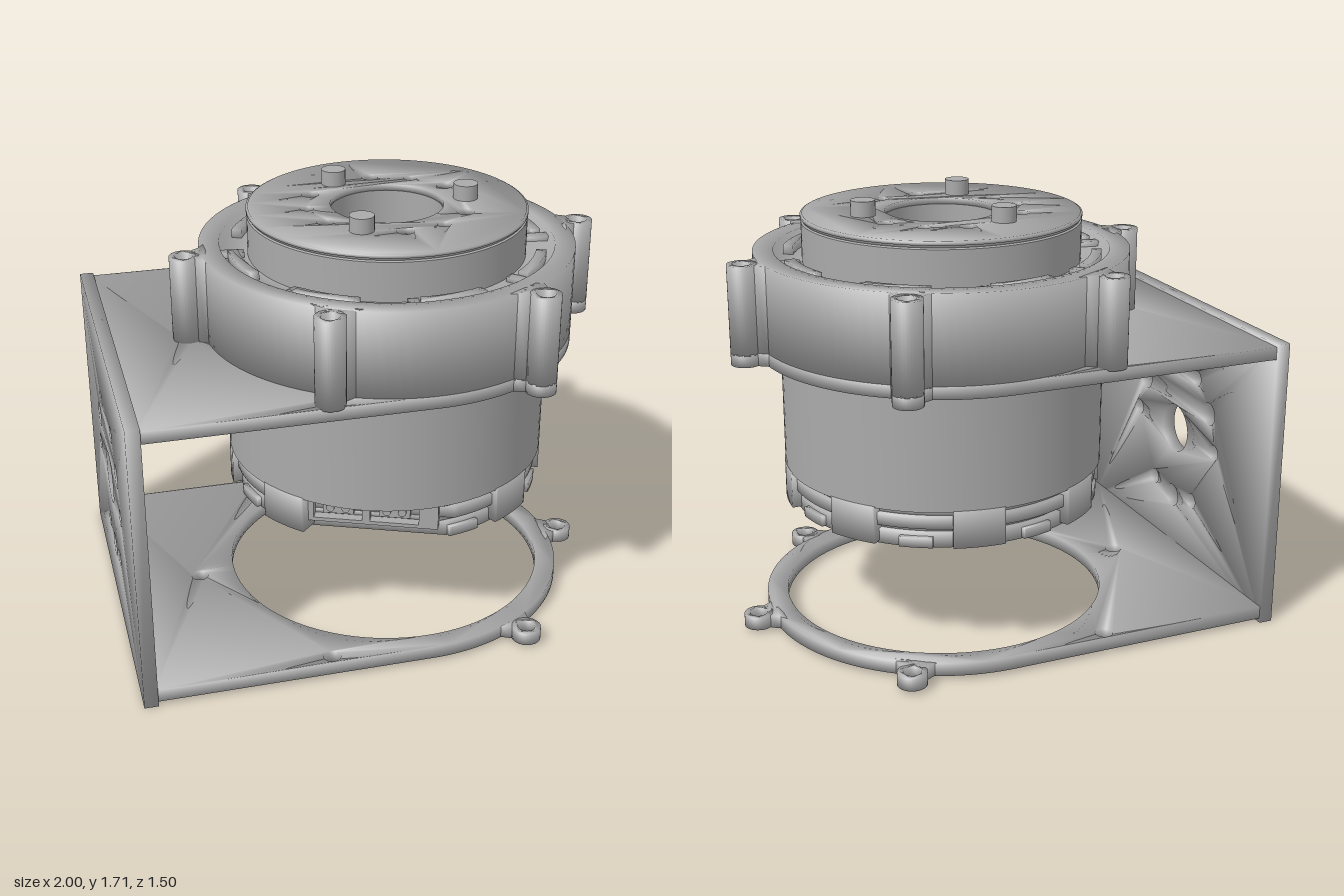
import * as THREE from 'three';
import { toCreasedNormals } from 'three/addons/utils/BufferGeometryUtils.js';

const CX = 0.142; // axis of the motor
const RAD = Math.PI / 180;
const CONNECTOR_ANGLE = 113; // direction of the connector, from +x towards +z

// Shares one angle-weighted normal between all faces that meet at a corner
function soften(geometry) {
  const g = geometry.index ? geometry.toNonIndexed() : geometry;
  const pos = g.attributes.position, sums = new Map(), keys = [];
  const p = [0, 1, 2].map(() => new THREE.Vector3());
  for (let i = 0; i < pos.count; i += 3) {
    p.forEach((v, k) => v.fromBufferAttribute(pos, i + k));
    const n = p[1].clone().sub(p[0]).cross(p[2].clone().sub(p[0])).normalize();
    for (let k = 0; k < 3; k++) {
      const key = p[k].toArray().map((c) => Math.round(c * 1e4)).join();
      const u = p[(k + 1) % 3].clone().sub(p[k]), w = p[(k + 2) % 3].clone().sub(p[k]);
      if (!sums.has(key)) sums.set(key, new THREE.Vector3());
      sums.get(key).addScaledVector(n, u.angleTo(w));
      keys.push(key);
    }
  }
  keys.forEach((key, i) => {
    const n = sums.get(key).clone().normalize();
    g.attributes.normal.setXYZ(i, n.x, n.y, n.z);
  });
  return g;
}

function hole(shape, x, y, r) {
  const path = new THREE.Path();
  path.absarc(x, y, r, 0, Math.PI * 2, true);
  shape.holes.push(path);
}

function disc(r) {
  const shape = new THREE.Shape();
  shape.absarc(0, 0, r, 0, Math.PI * 2, false);
  return shape;
}

function polygon(points) {
  return new THREE.Shape(points.map(([x, y]) => new THREE.Vector2(x, y)));
}

function rectangle(x0, y0, x1, y1) {
  return polygon([[x0, y0], [x1, y0], [x1, y1], [x0, y1]]);
}

// Flat shape laid in the ground plane and raised from y0 to y1
function slab(shape, y0, y1, curveSegments = 32) {
  const g = new THREE.ExtrudeGeometry(shape, { depth: y1 - y0, bevelEnabled: false, curveSegments });
  g.rotateX(-Math.PI / 2);
  g.translate(0, y0, 0);
  return soften(g);
}

// Curved block about the motor axis; the angle runs from +x towards +z
function arc(rIn, rOut, y0, y1, angle, span) {
  const a = (-angle - span / 2) * RAD, b = (-angle + span / 2) * RAD;
  const shape = new THREE.Shape();
  shape.absarc(0, 0, rOut, a, b, false);
  shape.absarc(0, 0, rIn, b, a, true);
  shape.closePath();
  return slab(shape, y0, y1, 10);
}

// Disc with a flat on the connector side
function flattenedDisc(r) {
  const half = Math.acos(0.52 / r), mid = -CONNECTOR_ANGLE * RAD;
  const shape = new THREE.Shape();
  shape.absarc(0, 0, r, mid + half, mid - half + Math.PI * 2, false);
  shape.closePath();
  return shape;
}

function lathe(points) {
  return new THREE.LatheGeometry(points.map(([r, y]) => new THREE.Vector2(r, y)), 96);
}

export function createModel() {
  const model = new THREE.Group();
  model.name = 'motorOnBracket';
  const grey = new THREE.MeshStandardMaterial({ color: 0xaaaaaa });
  grey.name = 'machinedGrey';

  const motor = new THREE.Group();
  motor.name = 'motor';
  motor.position.x = CX;
  const bracket = new THREE.Group();
  bracket.name = 'bracket';
  model.add(motor, bracket);

  function add(parent, name, geometry) {
    const mesh = new THREE.Mesh(geometry, grey);
    mesh.name = name;
    parent.add(mesh);
    return mesh;
  }

  // Screw lug with a flared web back to the ring
  function lug(parent, name, angle, y0, y1) {
    const group = new THREE.Group();
    group.name = name;
    const ring = disc(0.058);
    hole(ring, 0, 0, 0.034);
    add(group, 'lugTube', slab(ring, y0, y1, 16)).position.x = 0.8;
    const web = polygon([[0.71, -0.1], [0.735, -0.07], [0.765, -0.05], [0.765, 0.05], [0.735, 0.07], [0.71, 0.1]]);
    add(group, 'lugWeb', slab(web, y0, y1));
    group.rotation.y = -angle * RAD;
    parent.add(group);
  }

  // --- Motor body and outer housing
  add(motor, 'motorBody', toCreasedNormals(lathe([[0, 0.645], [0.64, 0.645], [0.64, 1.2]]), 0.5));
  for (const [r, y0, y1] of [[0.605, 0.49, 0.548], [0.585, 0.548, 0.57], [0.62, 0.57, 0.618], [0.6, 0.618, 0.645]]) {
    add(motor, 'baseLayer', slab(flattenedDisc(r), y0, y1, 72));
  }
  add(motor, 'housing', soften(lathe([[0.63, 1.165], [0.735, 1.165], [0.735, 1.51], [0.655, 1.51],
    [0.645, 1.465], [0.53, 1.465]])));
  for (let i = 0; i < 6; i++) lug(motor, 'housingLug', i * 60, 1.165, 1.51);

  // Raised catches between housing and cap, and clips around the base
  for (let i = 0; i < 8; i++) {
    const top = -98 + i * 45, base = 9 + i * 45;
    add(motor, 'catch', arc(0.585, 0.625, 1.45, 1.5, top, 24));
    add(motor, 'catchEnd', arc(0.56, 0.66, 1.45, 1.485, top + 14, 4));
    if (i === 2) continue; // the connector sits here
    add(motor, 'baseClip', arc(0.56, 0.642, 0.5, 0.65, base, 18));
    add(motor, 'baseRim', arc(0.56, 0.625, 0.495, 0.535, base + 22, 12));
  }

  // --- Rotating cap with bore, screw holes and pegs
  add(motor, 'capBody', toCreasedNormals(lathe([[0.545, 1.42], [0.545, 1.62], [0.535, 1.625], [0.22, 1.625],
    [0.22, 1.47], [0.19, 1.44], [0, 1.42]]), 0.5));
  const face = disc(0.54);
  hole(face, 0, 0, 0.22);
  for (let i = 0; i < 12; i++) {
    const a = (3 + i * 30) * RAD;
    const x = 0.315 * Math.cos(a), z = 0.315 * Math.sin(a);
    if (i % 4 === 0) {
      add(motor, 'peg', new THREE.CylinderGeometry(0.048, 0.048, 0.1, 24)).position.set(x, 1.66, z);
    } else {
      hole(face, x, -z, i % 4 === 2 ? 0.026 : 0.033);
    }
  }
  add(motor, 'capFace', slab(face, 1.6255, 1.65, 48));
  add(motor, 'capLip', soften(lathe([[0.53, 1.633], [0.547, 1.635], [0.547, 1.646], [0.53, 1.65]])));

  // --- Connector block with two sockets, set into the flat of the base
  const connector = new THREE.Group();
  connector.name = 'connector';
  connector.rotation.y = (90 - CONNECTOR_ANGLE) * RAD;
  motor.add(connector);
  const block = rectangle(-0.28, 0.535, 0.28, 0.655);
  for (const x of [-0.11, 0.11]) {
    block.holes.push(rectangle(x - 0.095, 0.55, x + 0.095, 0.64));
    add(connector, 'socketInsert', new THREE.BoxGeometry(0.12, 0.06, 0.04)).position.set(x, 0.596, 0.525);
    for (const s of [-1, 1]) {
      const pin = add(connector, 'pin', new THREE.CylinderGeometry(0.016, 0.016, 0.02, 12));
      pin.rotation.x = Math.PI / 2;
      pin.position.set(x + s * 0.03, 0.596, 0.55);
    }
  }
  add(connector, 'connectorBlock', new THREE.ExtrudeGeometry(block, { depth: 0.07, bevelEnabled: false }))
    .position.z = 0.49;

  // --- Bracket plates
  for (const [name, y0, y1] of [['lowerPlate', 0.018, 0.07], ['upperPlate', 1.12, 1.17]]) {
    const shape = new THREE.Shape();
    shape.moveTo(-0.96, -0.735);
    shape.lineTo(CX, -0.735);
    shape.absarc(CX, 0, 0.735, -Math.PI / 2, Math.PI / 2, false);
    shape.lineTo(-0.96, 0.735);
    shape.closePath();
    hole(shape, CX, 0, 0.652);
    for (const a of [120, 180, 240]) {
      hole(shape, CX + 0.8 * Math.cos(a * RAD), 0.8 * Math.sin(a * RAD), 0.034);
    }
    add(bracket, name, slab(shape, y0, y1, 48));
    const lugs = new THREE.Group();
    lugs.name = name + 'Lugs';
    lugs.position.x = CX;
    bracket.add(lugs);
    for (const a of [-60, 0, 60]) lug(lugs, 'plateLug', a, y0, y1);
  }

  // --- Upright wall with its bolt pattern
  const wall = rectangle(-0.74, 0, 0.74, 1.18);
  hole(wall, 0, 0.595, 0.104);
  for (let i = 0; i < 6; i++) {
    const a = i * 60 * RAD;
    hole(wall, 0.322 * Math.cos(a), 0.59 + 0.322 * Math.sin(a), 0.033);
  }
  for (const a of [-90, 30, 150]) {
    hole(wall, 0.31 * Math.cos(a * RAD), 0.59 + 0.31 * Math.sin(a * RAD), 0.048);
  }
  const wallGeometry = new THREE.ExtrudeGeometry(wall, { depth: 0.055, bevelEnabled: false, curveSegments: 20 });
  wallGeometry.rotateY(Math.PI / 2);
  add(bracket, 'wall', soften(wallGeometry)).position.x = -1;

  return model;
}
